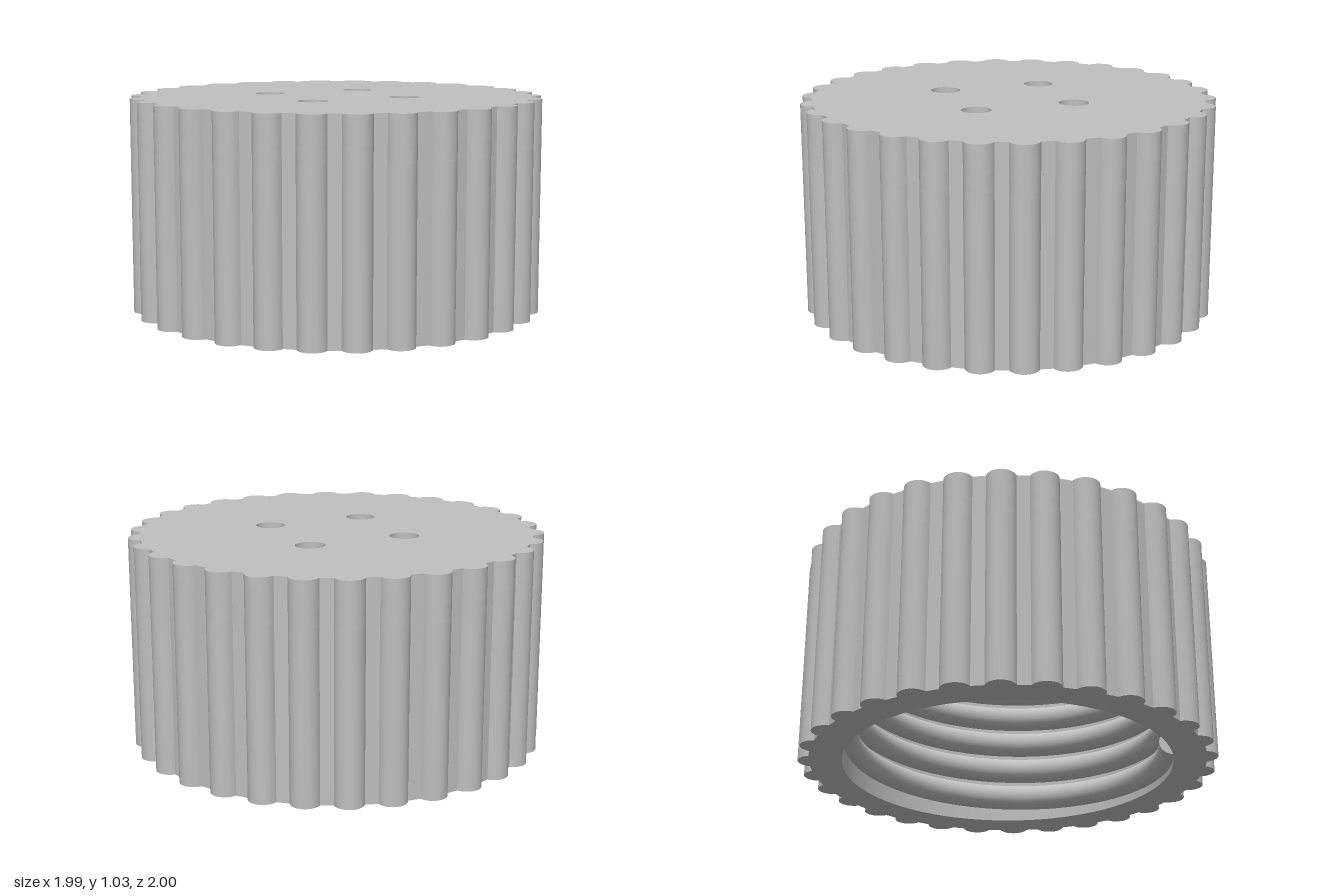
import * as THREE from 'three';
import { toCreasedNormals } from 'three/addons/utils/BufferGeometryUtils.js';

const HEIGHT = 1.035, BORE = 0.79, SHELF = 0.82, CEILING = 0.9;
const grey = new THREE.MeshStandardMaterial({ color: 0xbfbfbf });
grey.name = 'plain grey';

// Round body outline with 30 rounded grip ribs
function gripOutline() {
  const pts = [], ribs = 30, body = 0.947, centre = 0.93, radius = 0.07;
  // rib angle at which the rib meets the body circle
  const meet = Math.acos((body * body - centre * centre - radius * radius) / (2 * centre * radius));
  for (let i = 0; i < ribs; i++) {
    const a = Math.PI / 2 + (i * 2 * Math.PI) / ribs;
    for (let k = 0; k <= 12; k++) {
      const b = a + meet * (k / 6 - 1);
      pts.push(new THREE.Vector2(
        centre * Math.cos(a) + radius * Math.cos(b),
        centre * Math.sin(a) + radius * Math.sin(b)));
    }
  }
  return new THREE.Shape(pts);
}

function roundHole(x, y, r, sides, turn = 0) {
  const pts = [];
  for (let i = 0; i < sides; i++) {
    const a = turn - (i * 2 * Math.PI) / sides;
    pts.push(new THREE.Vector2(x + r * Math.cos(a), y + r * Math.sin(a)));
  }
  return new THREE.Path(pts);
}

// One horizontal slice of the cap, with holes
function slice(name, y0, y1, holes) {
  const shape = gripOutline();
  shape.holes.push(...holes);
  const geo = new THREE.ExtrudeGeometry(shape, { depth: y1 - y0, bevelEnabled: false });
  geo.rotateX(-Math.PI / 2).translate(0, y0, 0);
  const mesh = new THREE.Mesh(toCreasedNormals(geo, 0.45), grey);
  mesh.name = name;
  return mesh;
}

// Rounded ridge climbing in a right-handed helix inside the bore
function threadGeometry() {
  const turns = 4.6, pitch = 0.15, start = 0.085, perTurn = 72, n = 10;
  const steps = Math.round(turns * perTurn), pos = [], idx = [];
  for (let i = 0; i <= steps; i++) {
    const t = -Math.PI / 2 + (i / perTurn) * 2 * Math.PI;
    const h = start + (i / perTurn) * pitch;
    for (let j = 0; j <= n; j++) {
      const p = Math.PI * (j / n - 0.5);
      const r = BORE + 0.005 - 0.07 * Math.cos(p);
      pos.push(r * Math.cos(t), h + 0.065 * Math.sin(p), -r * Math.sin(t));
      if (i < steps && j < n) {
        const a = i * (n + 1) + j, b = a + n + 1;
        idx.push(a, a + 1, b, a + 1, b + 1, b);
      }
    }
  }
  // end faces
  const last = steps * (n + 1);
  for (let j = 1; j < n; j++) {
    idx.push(0, j + 1, j, last, last + j, last + j + 1);
  }
  const geo = new THREE.BufferGeometry();
  geo.setAttribute('position', new THREE.Float32BufferAttribute(pos, 3));
  geo.setIndex(idx);
  return toCreasedNormals(geo, 0.6);
}

export function createModel() {
  const cap = new THREE.Group();
  cap.name = 'ribbedScrewCap';

  // skirt, inner shelf with a many-sided pocket, and the drilled top
  cap.add(slice('skirt', 0, SHELF, [roundHole(0, 0, BORE, 96)]));
  cap.add(slice('innerShelf', SHELF, CEILING, [roundHole(0, 0, 0.7, 12, -Math.PI / 4)]));
  const drilled = [0, 1, 2, 3].map((i) => {
    const a = (i * Math.PI) / 2;
    return roundHole(0.345 * Math.cos(a), 0.345 * Math.sin(a), 0.071, 40);
  });
  cap.add(slice('drilledTop', CEILING, HEIGHT, drilled));

  const thread = new THREE.Mesh(threadGeometry(), grey);
  thread.name = 'innerThread';
  cap.add(thread);
  return cap;
}
